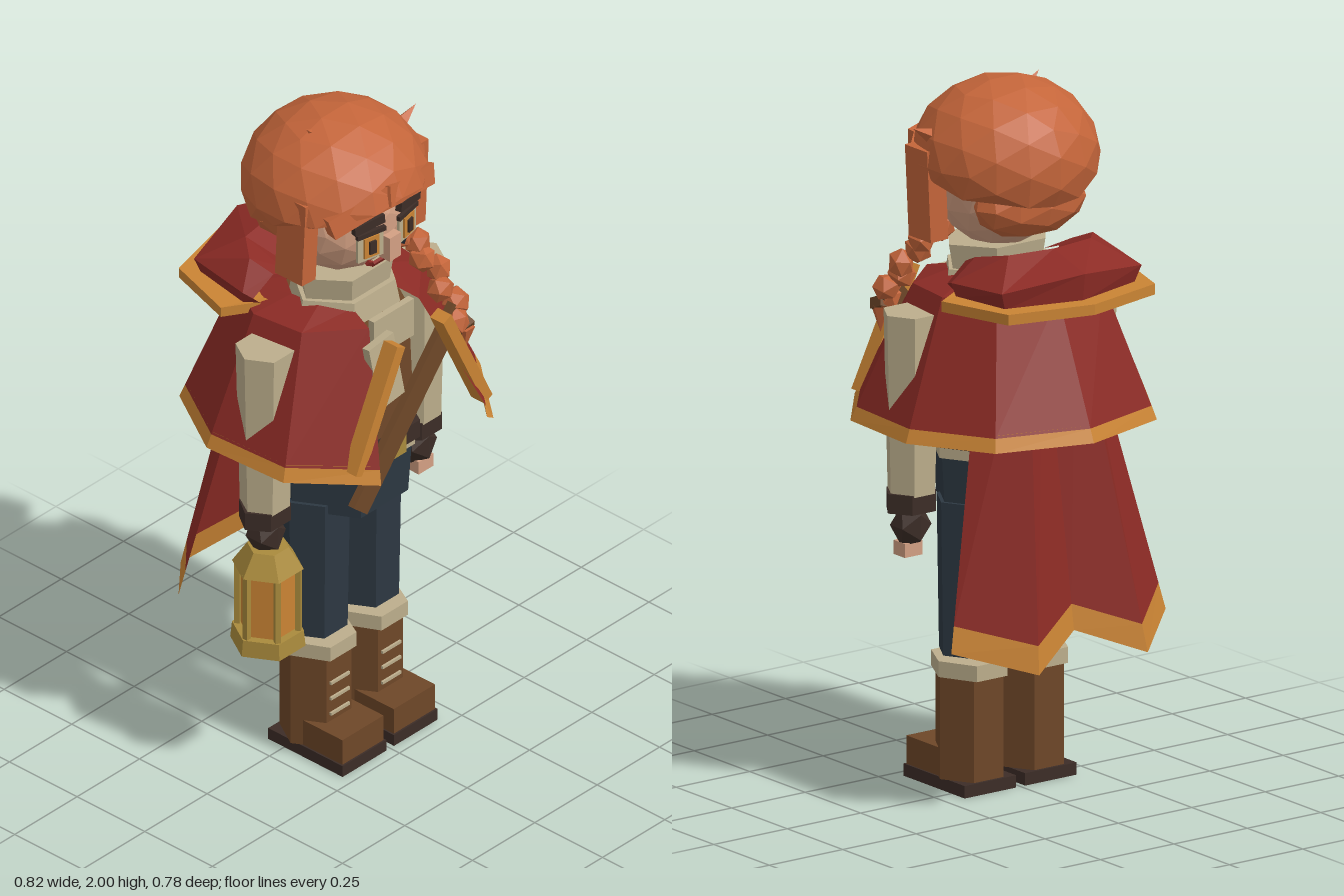
import * as THREE from 'three';

const mat = (name, color, double = false) => {
  const m = new THREE.MeshStandardMaterial({ color, flatShading: true });
  m.name = name;
  if (double) m.side = THREE.DoubleSide;
  return m;
};

export function createModel() {
  const M = {
    hair: mat('hair', 0xc4653a), skin: mat('skin', 0xd3a083), red: mat('red cloth', 0x8c2b25, true),
    trim: mat('orange gold trim', 0xca8434, true), cream: mat('cream linen', 0xbcae8c),
    brown: mat('brown leather', 0x6e4728), dark: mat('dark leather', 0x3c2d27),
    navy: mat('navy cloth', 0x2d3842), brass: mat('brass', 0xa98a3c),
  };
  const root = new THREE.Group();
  root.name = 'traveller';

  const add = (name, geo, m, pos = [0, 0, 0], rot = [0, 0, 0], scale = [1, 1, 1], parent = root) => {
    const mesh = new THREE.Mesh(geo, m);
    mesh.name = name;
    mesh.position.set(...pos);
    mesh.rotation.set(...rot);
    mesh.scale.set(...scale);
    parent.add(mesh);
    return mesh;
  };
  const box = (name, m, size, pos, rot) => add(name, new THREE.BoxGeometry(...size), m, pos, rot);
  // Six-sided prism with a flat front, from y0 up to y1
  const hex = (name, m, x, z, y0, y1, r0, r1 = r0, sz = 1) => add(name,
    new THREE.CylinderGeometry(r1, r0, y1 - y0, 6), m, [x, (y0 + y1) / 2, z], [0, Math.PI / 6, 0]).geometry
    .rotateY(-Math.PI / 6).scale(1, 1, sz).rotateY(0);
  const prism = (name, m, x, z, y0, y1, r0, r1 = r0, sz = 1) => {
    const g = new THREE.CylinderGeometry(r1, r0, y1 - y0, 6).rotateY(Math.PI / 6).scale(1, 1, sz);
    return add(name, g, m, [x, (y0 + y1) / 2, z]);
  };
  const lump = (name, m, pos, scale, detail = 0, rot) =>
    add(name, new THREE.IcosahedronGeometry(1, detail), m, pos, rot, scale);
  // Sheet through rows of points
  const sheet = (name, m, rows) => {
    const p = [];
    for (let i = 0; i < rows.length - 1; i++) for (let j = 0; j < rows[i].length - 1; j++) {
      const [a, b, c, d] = [rows[i][j], rows[i][j + 1], rows[i + 1][j + 1], rows[i + 1][j]];
      p.push(...a, ...d, ...b, ...b, ...d, ...c);
    }
    const g = new THREE.BufferGeometry();
    g.setAttribute('position', new THREE.Float32BufferAttribute(p, 3));
    g.computeVertexNormals();
    return add(name, g, m);
  };
  // Mirrors a half outline (starting at +x, ending at x = 0)
  const mirror = h => [...h, ...h.slice(0, -1).reverse().map(([x, y, z]) => [-x, y, z])];
  const mix = (a, b, t) => a.map((p, i) => p.map((v, k) => v + (b[i][k] - v) * t));

  // Boots and legs
  for (const s of [-1, 1]) {
    const x = s * 0.103;
    box('bootSole', M.dark, [0.175, 0.035, 0.275], [x, 0.0175, 0.078]);
    prism('bootShaft', M.brown, x, 0.035, 0.035, 0.325, 0.1);
    box('bootToe', M.brown, [0.165, 0.08, 0.17], [x, 0.075, 0.125]);
    prism('bootCuff', M.cream, x, 0.035, 0.325, 0.37, 0.105, 0.105, 1.13);
    for (const y of [0.14, 0.19, 0.24]) box('bootLace', M.cream, [0.075, 0.009, 0.01], [x, y, 0.123]);
    prism('leg', M.navy, x, 0.03, 0.385, 0.82, 0.093, 0.1);
  }
  prism('hips', M.navy, 0, 0.03, 0.79, 0.945, 0.19, 0.2);

  // Torso, belt and shirt
  prism('shirtHem', M.cream, 0, 0.035, 0.945, 0.975, 0.205);
  prism('belt', M.dark, 0, 0.04, 0.975, 1.03, 0.21, 0.21, 1.04);
  box('beltBuckle', M.brass, [0.07, 0.06, 0.025], [-0.005, 1.0, 0.235]);
  prism('vest', M.brown, 0, 0.035, 1.03, 1.4, 0.2, 0.185, 1.02);
  box('shirtFront', M.cream, [0.16, 0.12, 0.02], [0.01, 1.37, 0.21]);
  box('scarfEnd', M.cream, [0.1, 0.2, 0.025], [-0.08, 1.3, 0.265], [-0.1, 0, 0.12]);
  box('scarfBand', M.trim, [0.1, 0.022, 0.02], [-0.08, 1.185, 0.245], [0, 0, 0.12]);
  prism('collarBase', M.cream, 0, 0.045, 1.4, 1.47, 0.18, 0.165, 0.8);
  prism('collar', M.cream, 0, 0.045, 1.46, 1.54, 0.15, 0.165, 0.75);
  box('shoulderStrap', M.brown, [0.07, 0.62, 0.022], [0.005, 1.14, 0.275], [0, 0, -0.7]);

  // Arms and gloves
  for (const s of [-1, 1]) {
    const x = s * 0.303;
    prism('sleeve', M.cream, x, 0.032, 0.87, 1.38, 0.07, 0.082);
    prism('sleeveCuff', M.dark, x, 0.032, 0.82, 0.875, 0.08, 0.08, 0.85);
    lump('glove', M.dark, [x, 0.775, 0.035], [0.058, 0.068, 0.055]);
  }
  box('fingers', M.skin, [0.06, 0.04, 0.05], [0.308, 0.71, 0.04]);

  // Lantern in the right hand
  const lx = -0.305, lz = 0.045;
  prism('lanternBase', M.brass, lx, lz, 0.425, 0.475, 0.105, 0.1);
  prism('lanternGlass', M.trim, lx, lz, 0.475, 0.68, 0.075);
  for (let i = 0; i < 6; i++) {
    const a = i * Math.PI / 3;
    box('lanternPost', M.brass, [0.016, 0.21, 0.016], [lx + 0.085 * Math.cos(a), 0.575, lz + 0.085 * Math.sin(a)], [0, -a, 0]);
  }
  prism('lanternRoof', M.brass, lx, lz, 0.675, 0.74, 0.1, 0.058);
  add('lanternRing', new THREE.TorusGeometry(0.03, 0.007, 4, 8), M.brass, [lx, 0.755, lz]);

  // Shoulder mantle, open at the front
  const neck = mirror([[0.08, 1.45, 0.15], [0.14, 1.46, 0.08], [0.15, 1.46, -0.01], [0.1, 1.46, -0.08], [0, 1.46, -0.1]]);
  const top = mirror([[0.1, 1.43, 0.23], [0.24, 1.43, 0.11], [0.26, 1.43, -0.05], [0.18, 1.43, -0.19], [0, 1.43, -0.23]]);
  const hem = mirror([[0.225, 1.05, 0.39], [0.395, 1.05, 0.185], [0.41, 1.05, -0.085], [0.275, 1.05, -0.31], [0, 1.05, -0.39]]);
  const band = mix(top, hem, 0.9);
  sheet('mantle', M.red, [neck, top, band]);
  sheet('mantleTrim', M.trim, [band, hem, hem.map(([x, y, z]) => [x * 0.96, y, z * 0.96]), mix(top, hem, 0.88)]);
  for (const s of [-1, 1])
    box('lapelTrim', M.trim, [0.035, 0.38, 0.05], [s * 0.175, 1.245, 0.317], [0, 0, s * 0.45]);

  // Long folded cape
  const capeTop = mirror([[0.16, 1.4, -0.1], [0.08, 1.4, -0.2], [0, 1.4, -0.16]]);
  const capeEnd = mirror([[0.365, 0.48, -0.23], [0.185, 0.425, -0.388], [0, 0.5, -0.3]]);
  const capeBand = mix(capeTop, capeEnd, 0.92);
  sheet('longCape', M.red, [capeTop, capeBand]);
  sheet('longCapeTrim', M.trim, [capeBand, capeEnd]);

  // Lowered hood on a trimmed rim
  const rimOut = y => mirror([[0.22, y, -0.06], [0.315, y, -0.12], [0.25, y, -0.335], [0, y, -0.395]]);
  const rimIn = y => mirror([[0.12, y, -0.04], [0.14, y, -0.07], [0.12, y, -0.11], [0, y, -0.12]]);
  sheet('hoodRim', M.trim, [rimIn(1.44), rimOut(1.445), rimOut(1.415), rimIn(1.415)]);
  sheet('hood', M.red, [
    mirror([[0.1, 1.5, -0.03], [0.13, 1.51, -0.06], [0.1, 1.51, -0.1], [0, 1.51, -0.11]]),
    mirror([[0.18, 1.52, -0.05], [0.2, 1.55, -0.12], [0.14, 1.56, -0.19], [0, 1.56, -0.21]]),
    mirror([[0.25, 1.47, -0.06], [0.26, 1.48, -0.09], [0.238, 1.49, -0.29], [0, 1.52, -0.35]]),
    mirror([[0.22, 1.44, -0.06], [0.25, 1.44, -0.1], [0.22, 1.44, -0.28], [0, 1.44, -0.34]]),
  ]);

  // Head and face
  lump('head', M.skin, [0, 1.71, 0.03], [0.19, 0.19, 0.185], 2);
  box('nose', M.skin, [0.045, 0.075, 0.04], [0, 1.65, 0.215]);
  for (const s of [-1, 1]) {
    const r = [0, s * 0.2, 0];
    box('eyeWhite', M.cream, [0.085, 0.085, 0.009], [s * 0.073, 1.68, 0.208], r);
    box('iris', M.trim, [0.05, 0.064, 0.009], [s * 0.074, 1.68, 0.214], r);
    box('pupil', M.dark, [0.022, 0.04, 0.009], [s * 0.075, 1.68, 0.22], r);
    box('upperLid', M.dark, [0.095, 0.014, 0.012], [s * 0.073, 1.722, 0.212], r);
    box('eyebrow', M.dark, [0.1, 0.027, 0.02], [s * 0.08, 1.752, 0.208], [0, s * 0.2, -s * 0.1]);
  }
  box('mouth', M.red, [0.07, 0.016, 0.009], [0.0, 1.586, 0.182], [0.5, 0, 0]);
  for (const s of [-1, 1]) box('mouthCorner', M.red, [0.022, 0.014, 0.009], [s * 0.042, 1.592, 0.178], [0.4, s * 0.2, s * 0.5]);
  box('cheekPatch', M.navy, [0.065, 0.032, 0.02], [0.118, 1.612, 0.16], [0.3, 0.6, 0.2]);

  // Hair cap cut along a sloping hairline
  const cap = new THREE.IcosahedronGeometry(1, 2).scale(0.262, 0.222, 0.257).translate(0, 1.778, 0.01);
  const p = cap.attributes.position;
  for (let i = 0; i < p.count; i++) p.setY(i, Math.max(p.getY(i), 1.735 + 0.28 * p.getZ(i)));
  cap.computeVertexNormals();
  add('hairCap', cap, M.hair);
  lump('napeHair', M.hair, [0, 1.67, -0.1], [0.18, 0.1, 0.1], 1);
  box('sideLock', M.hair, [0.055, 0.25, 0.1], [-0.215, 1.715, 0.07], [0, 0, -0.06]);
  box('sideLock', M.hair, [0.06, 0.26, 0.1], [0.222, 1.695, 0.07], [0, 0, -0.05]);
  box('fringe', M.hair, [0.2, 0.06, 0.05], [-0.11, 1.81, 0.2], [-0.2, -0.35, 0.22]);
  box('fringe', M.hair, [0.22, 0.06, 0.05], [0.06, 1.818, 0.215], [-0.2, 0.2, -0.16]);
  box('fringe', M.hair, [0.1, 0.06, 0.06], [0.18, 1.8, 0.14], [-0.1, 0.8, -0.2]);
  add('tuft', new THREE.ConeGeometry(0.025, 0.08, 4), M.hair, [-0.09, 1.965, 0.015], [0, 0, 0.8]);
  add('tuft', new THREE.ConeGeometry(0.028, 0.09, 4), M.hair, [0.248, 1.87, 0.045], [0, 0, -1.1]);

  // Braid over the left shoulder
  const braid = new THREE.CatmullRomCurve3([[0.15, 1.57, 0.12], [0.19, 1.5, 0.17], [0.2, 1.42, 0.23], [0.205, 1.34, 0.285]]
    .map(v => new THREE.Vector3(...v)));
  for (let i = 0; i < 7; i++) {
    const c = braid.getPoint(i / 6), off = (i % 2 ? 1 : -1) * 0.014;
    lump('braidKnot', M.hair, [c.x + off, c.y, c.z], [0.042, 0.045, 0.038], 0, [i, i * 0.7, 0.4]);
  }
  box('braidTie', M.brown, [0.05, 0.03, 0.05], [0.205, 1.325, 0.29], [0.4, 0, 0.3]);
  add('braidTip', new THREE.ConeGeometry(0.03, 0.08, 5), M.hair, [0.205, 1.28, 0.3], [Math.PI, 0, 0]);

  return root;
}
